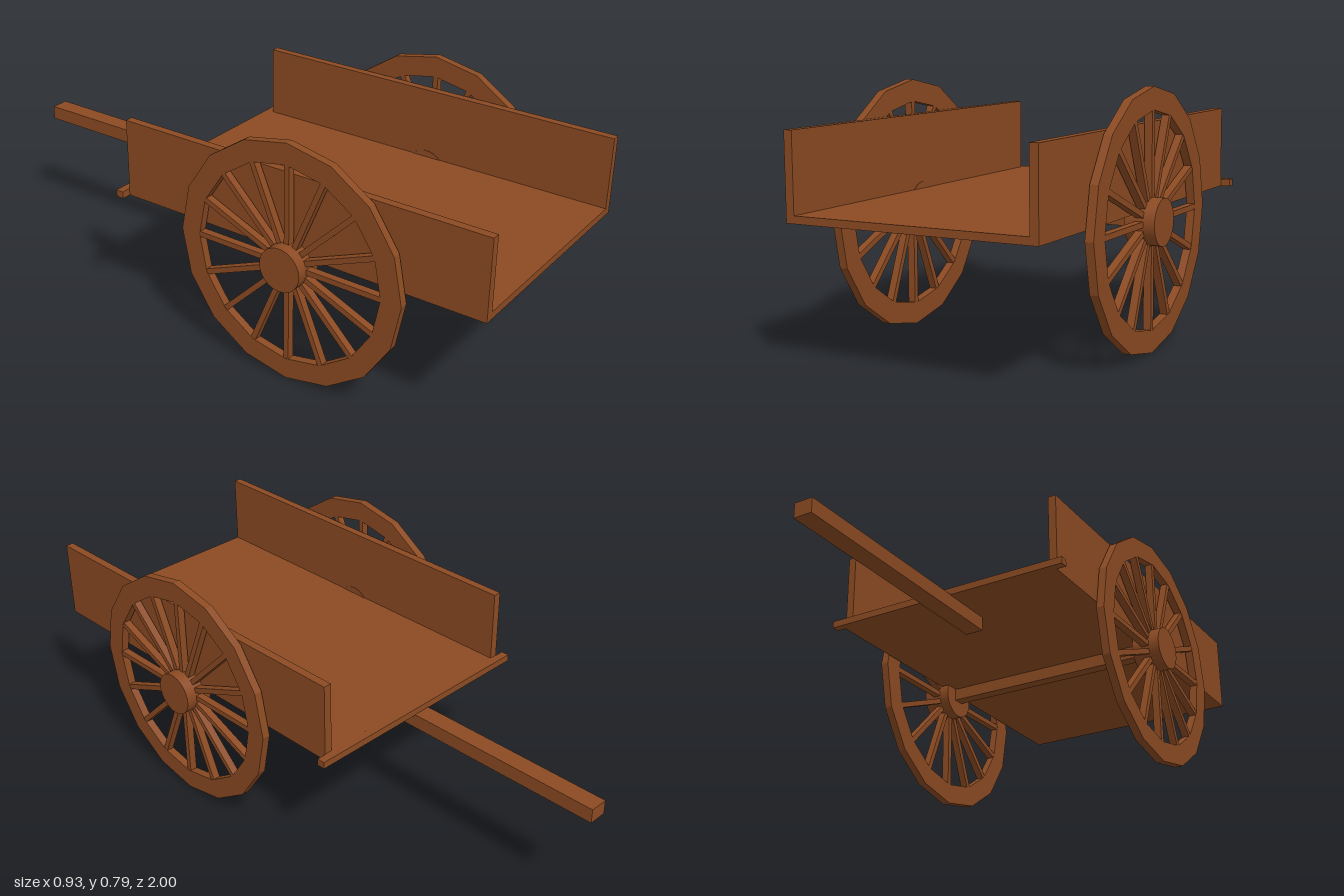
import * as THREE from 'three';

const WHEEL_Y = 0.398, WHEEL_Z = 0.355;
const SIDES = 16, RIM_OUT = 0.397, RIM_IN = 0.328;

export function createModel() {
  const wood = new THREE.MeshStandardMaterial({ color: 0x8b4a22 });
  wood.name = 'brown wood';

  const cart = new THREE.Group();
  cart.name = 'handCart';

  const add = (parent, name, geometry, x = 0, y = 0, z = 0) => {
    const mesh = new THREE.Mesh(geometry, wood);
    mesh.name = name;
    mesh.position.set(x, y, z);
    parent.add(mesh);
    return mesh;
  };
  // box given by its minimum and maximum corners
  const addBox = (name, [x0, y0, z0], [x1, y1, z1]) =>
    add(cart, name, new THREE.BoxGeometry(x1 - x0, y1 - y0, z1 - z0),
      (x0 + x1) / 2, (y0 + y1) / 2, (z0 + z1) / 2);

  // bed, rear crossbar, pull pole and axle
  addBox('floor', [-0.4, 0.425, -0.288], [0.4, 0.448, 1]);
  addBox('crossbar', [-0.432, 0.425, -0.315], [0.432, 0.448, -0.288]);
  addBox('pole', [-0.031, 0.379, -1], [0.031, 0.427, -0.122]);
  addBox('axle', [-0.39, 0.382, WHEEL_Z - 0.021], [0.39, 0.424, WHEEL_Z + 0.021]);

  // sixteen-sided rim outline with a matching opening
  const ring = (radius) => Array.from({ length: SIDES }, (_, i) => {
    const a = (i / SIDES) * Math.PI * 2;
    return new THREE.Vector2(Math.cos(a) * radius, Math.sin(a) * radius);
  });
  const rimShape = new THREE.Shape(ring(RIM_OUT));
  rimShape.holes.push(new THREE.Path(ring(RIM_IN).reverse()));
  const rimGeometry = new THREE.ExtrudeGeometry(rimShape, { depth: 0.027, bevelEnabled: false });
  rimGeometry.translate(0, 0, -0.0135).rotateY(Math.PI / 2);

  const hubGeometry = new THREE.CylinderGeometry(0.072, 0.072, 0.096, 32).rotateZ(Math.PI / 2);
  const spokeGeometry = new THREE.BoxGeometry(0.025, 0.29, 0.018).translate(0, 0.185, 0);

  for (const side of [-1, 1]) {
    const label = side > 0 ? 'left' : 'right';
    const inner = side * 0.373, outer = side * 0.4;
    addBox(label + 'SideBoard', [Math.min(inner, outer), 0.425, -0.287],
      [Math.max(inner, outer), 0.687, 1]);

    // wheel: rim, hub and spokes around the axle
    const wheel = new THREE.Group();
    wheel.name = label + 'Wheel';
    wheel.position.set(side * 0.418, WHEEL_Y, WHEEL_Z);
    cart.add(wheel);
    add(wheel, 'rim', rimGeometry);
    add(wheel, 'hub', hubGeometry, side * 0.001);
    for (let i = 0; i < SIDES; i++) {
      add(wheel, 'spoke', spokeGeometry).rotation.x = (i / SIDES) * Math.PI * 2;
    }
  }
  return cart;
}
